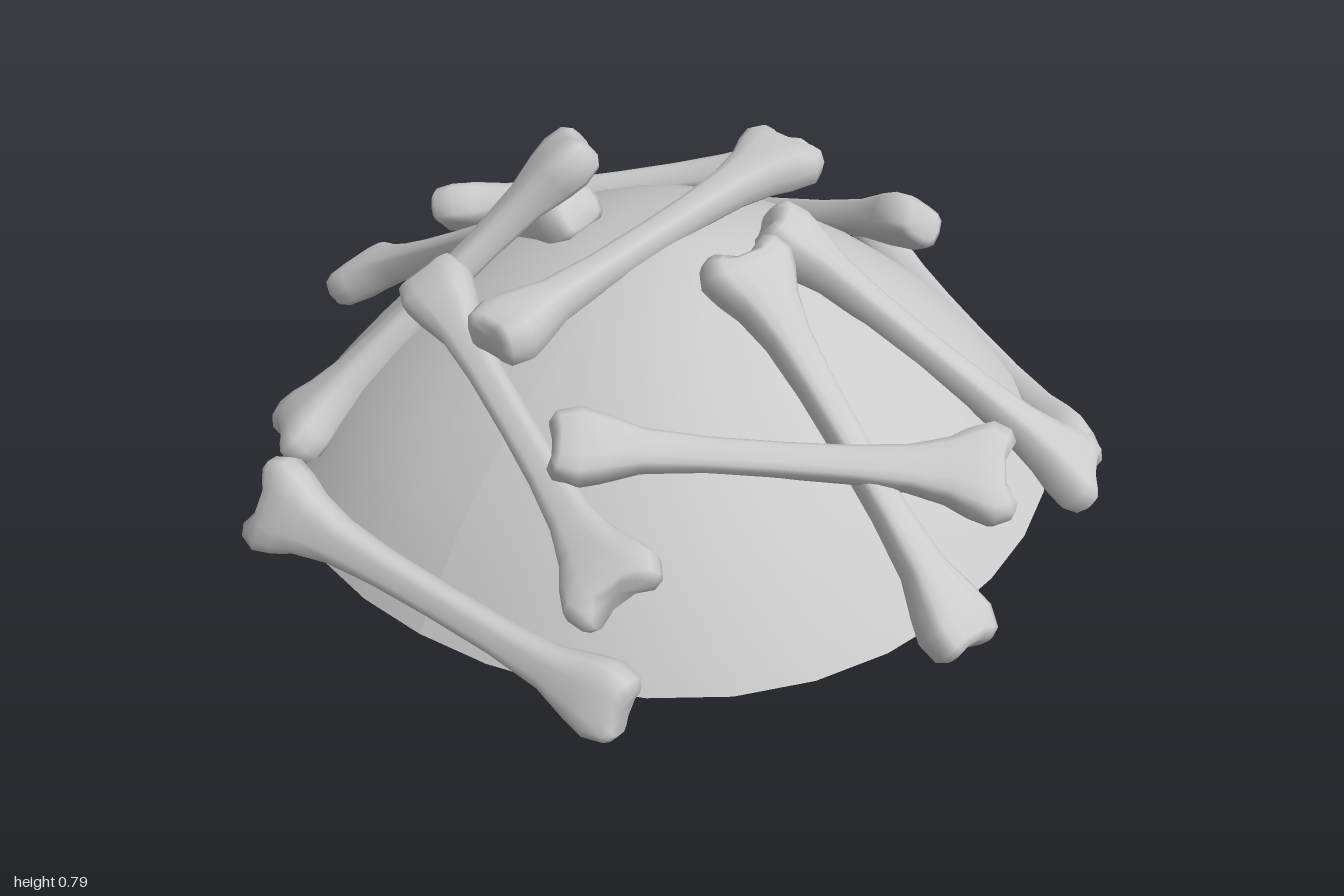
import * as THREE from 'three';

const CENTER = new THREE.Vector3(0.015, -0.29, 0);

// Bone cross-sections: [position along bone, half width, half thickness, end notch depth]
const SECTIONS = [
  [-0.48, 0.05, 0.04, 0.012], [-0.468, 0.071, 0.055, 0.015], [-0.42, 0.083, 0.061, 0.008],
  [-0.37, 0.071, 0.055, 0], [-0.29, 0.046, 0.043, 0], [-0.16, 0.037, 0.036, 0],
  [0, 0.036, 0.035, 0], [0.14, 0.039, 0.037, 0], [0.26, 0.049, 0.042, 0],
  [0.34, 0.07, 0.049, 0], [0.39, 0.096, 0.055, 0], [0.435, 0.111, 0.058, 0.012],
  [0.474, 0.095, 0.053, 0.03], [0.486, 0.07, 0.04, 0.035],
];

// Loft a bone along +y: broad along x, flatter along z, with notched knuckle ends
function boneGeometry() {
  const sides = 14, pos = [], index = [];
  const soft = (v) => Math.sign(v) * Math.pow(Math.abs(v), 0.65);
  for (const [s, w, t, notch] of SECTIONS) {
    for (let i = 0; i < sides; i++) {
      const a = (i / sides) * Math.PI * 2;
      const u = soft(Math.cos(a)), v = soft(Math.sin(a));
      const groove = notch > 0 ? 0.88 + 0.12 * u * u : 1;
      pos.push(u * w, s - Math.sign(s) * notch * (1 - u * u), v * t * groove);
    }
  }
  const rows = SECTIONS.length;
  for (let r = 0; r < rows - 1; r++) {
    for (let i = 0; i < sides; i++) {
      const a = r * sides + i, b = r * sides + (i + 1) % sides;
      index.push(a, a + sides, b, b, a + sides, b + sides);
    }
  }
  // End caps
  const low = pos.length / 3, high = low + 1, last = (rows - 1) * sides;
  pos.push(0, -0.465, 0, 0, 0.448, 0);
  for (let i = 0; i < sides; i++) {
    const j = (i + 1) % sides;
    index.push(low, i, j, high, last + j, last + i);
  }
  const g = new THREE.BufferGeometry();
  g.setAttribute('position', new THREE.Float32BufferAttribute(pos, 3));
  g.setIndex(index);
  g.computeVertexNormals();
  return g;
}

// Shallow mound whose rim bulges slightly on the diagonals
function moundGeometry() {
  const profile = [
    [0.86, 0.06], [0.82, 0.118], [0.76, 0.196], [0.68, 0.288], [0.57, 0.385],
    [0.45, 0.472], [0.3, 0.55], [0.15, 0.595], [0, 0.61],
  ].map(([r, y]) => new THREE.Vector2(r, y));
  const g = new THREE.LatheGeometry(profile, 32);
  const p = g.attributes.position;
  for (let i = 0; i < p.count; i++) {
    const x = p.getX(i), z = p.getZ(i);
    const bulge = 1 + 0.03 * Math.sin(2 * Math.atan2(z, x)) ** 2;
    p.setXYZ(i, x * bulge + CENTER.x, p.getY(i), z * bulge + 0.01);
  }
  g.computeVertexNormals();
  return g;
}

// Each bone: centre of the narrow end, centre of the broad end
const BONES = [
  [[0.44, 0.09, 0.82], [-0.36, 0.2, 0.86]],
  [[-0.32, 0.515, 0.39], [0.39, 0.3, 0.72]],
  [[-0.24, 0.72, 0.06], [-0.545, 0.21, 0.61]],
  [[0.93, 0.14, 0.27], [0.28, 0.64, 0.08]],
  [[0.21, 0.44, 0.56], [0.84, 0.35, 0.05]],
  [[0.28, 0.64, -0.08], [0.86, 0.14, -0.35]],
  [[-0.05, 0.58, 0.48], [0.06, 0.655, -0.35]],
  [[0.78, 0.09, -0.5], [0.07, 0.17, -0.85]],
  [[0.26, 0.44, -0.6], [-0.51, 0.17, -0.7]],
  [[-0.77, 0.31, -0.2], [-0.12, 0.45, -0.64]],
  [[-0.24, 0.59, 0.06], [-0.94, 0.15, 0]],
];

export function createModel() {
  const model = new THREE.Group();
  model.name = 'boneMound';
  const material = new THREE.MeshStandardMaterial({ color: 0xcccccc });

  // Open-bottomed mound shell
  const shell = new THREE.Mesh(
    moundGeometry(),
    new THREE.MeshStandardMaterial({ color: 0xcccccc, side: THREE.DoubleSide }),
  );
  shell.name = 'mound';
  model.add(shell);

  // Bones lying with their broad side against the mound
  const geometry = boneGeometry();
  const bones = new THREE.Group();
  bones.name = 'bones';
  BONES.forEach(([from, to], i) => {
    const a = new THREE.Vector3(...from), b = new THREE.Vector3(...to);
    const along = b.clone().sub(a).normalize();
    const middle = a.add(b).multiplyScalar(0.5);
    const outward = middle.clone().sub(CENTER);
    const across = along.clone().cross(outward).normalize();
    outward.crossVectors(across, along);
    const bone = new THREE.Mesh(geometry, material);
    bone.name = `bone${i + 1}`;
    bone.quaternion.setFromRotationMatrix(new THREE.Matrix4().makeBasis(across, along, outward));
    bone.position.copy(middle);
    bones.add(bone);
  });
  model.add(bones);
  return model;
}
